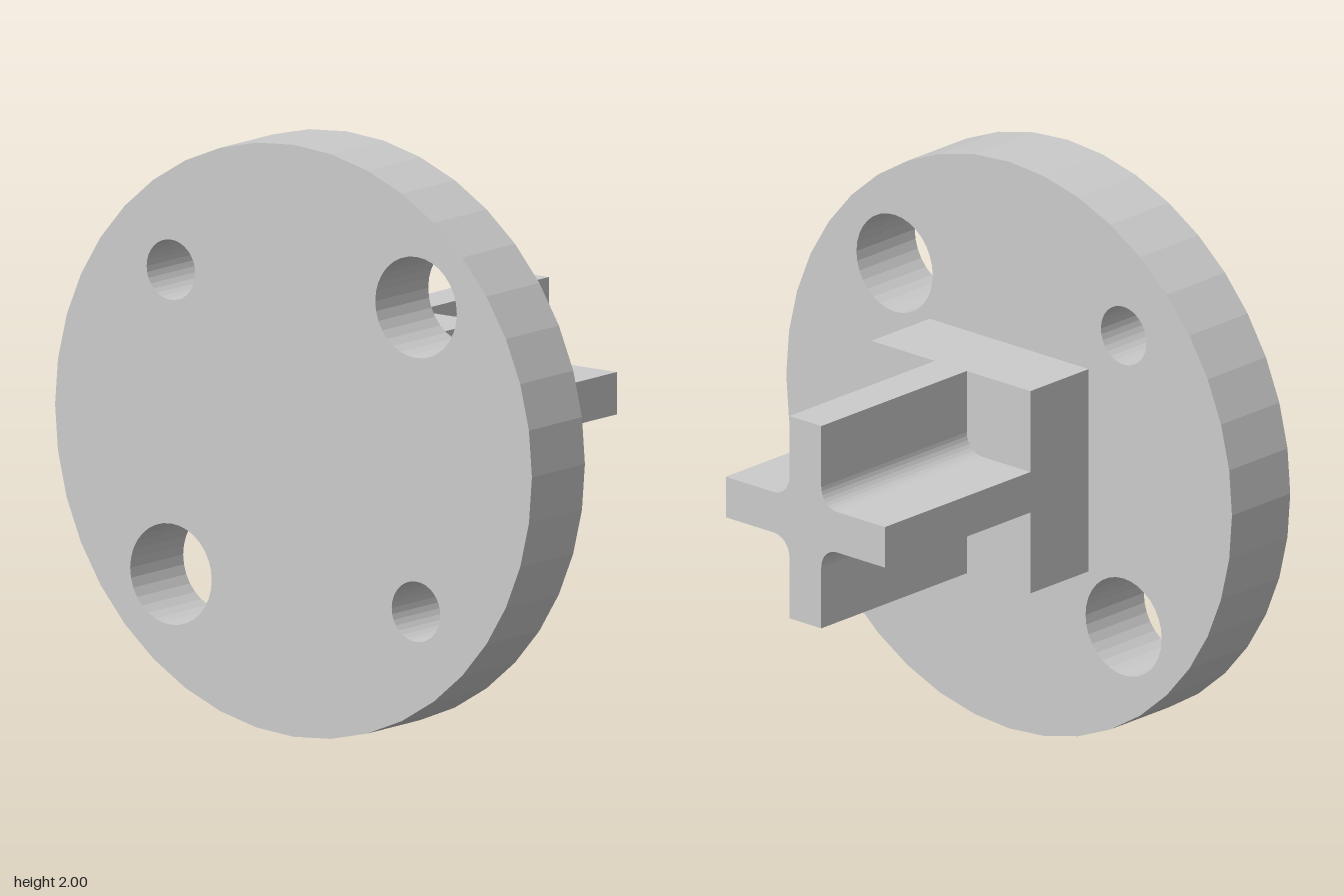
import * as THREE from 'three';

const material = new THREE.MeshStandardMaterial({ color: 0xcccccc });

// Regular polygon outline standing in for a circle
function circlePoints(x, y, r, sides) {
  return Array.from({ length: sides }, (_, i) => {
    const a = (i / sides) * Math.PI * 2;
    return new THREE.Vector2(x + r * Math.cos(a), y + r * Math.sin(a));
  });
}

// Extrude a shape along z between two depths
function extrude(name, shape, zBack, zFront) {
  const geometry = new THREE.ExtrudeGeometry(shape, {
    depth: zFront - zBack, bevelEnabled: false, curveSegments: 4,
  });
  const mesh = new THREE.Mesh(geometry, material);
  mesh.name = name;
  mesh.position.set(0, 1, zBack);
  return mesh;
}

export function createModel() {
  const group = new THREE.Group();
  group.name = 'flangedCrossShaft';
  const half = 0.357, arm = 0.0715, fillet = 0.07;
  const zBack = -0.643, zCross = 0.071, zPlate = 0.357, zFront = 0.643;

  // Round plate with two large and two small holes on the diagonals
  const plate = new THREE.Shape(circlePoints(0, 0, 1, 40));
  const d = 0.514;
  for (const [x, y, r] of [[d, d, 0.171], [-d, -d, 0.171], [-d, d, 0.102], [d, -d, 0.102]]) {
    plate.holes.push(new THREE.Path(circlePoints(x, y, r, 32)));
  }
  group.add(extrude('plate', plate, zPlate, zFront));

  // Square block behind the plate
  const block = new THREE.Mesh(
    new THREE.BoxGeometry(half * 2, half * 2, zPlate - zCross), material);
  block.name = 'block';
  block.position.set(0, 1, (zPlate + zCross) / 2);
  group.add(block);

  // Cross-shaped shaft with filleted inner corners, one quarter per turn
  const cross = new THREE.Shape();
  const c = arm + fillet;
  for (let i = 0; i < 4; i++) {
    const turn = (i * Math.PI) / 2;
    const at = (x, y) => new THREE.Vector2(x, y).rotateAround(new THREE.Vector2(), turn);
    const start = at(half, -arm), end = at(half, arm), centre = at(c, c);
    if (i === 0) cross.moveTo(start.x, start.y);
    else cross.lineTo(start.x, start.y);
    cross.lineTo(end.x, end.y);
    cross.absarc(centre.x, centre.y, fillet, turn + Math.PI * 1.5, turn + Math.PI, true);
  }
  cross.closePath();
  group.add(extrude('crossShaft', cross, zBack, zCross));

  return group;
}
